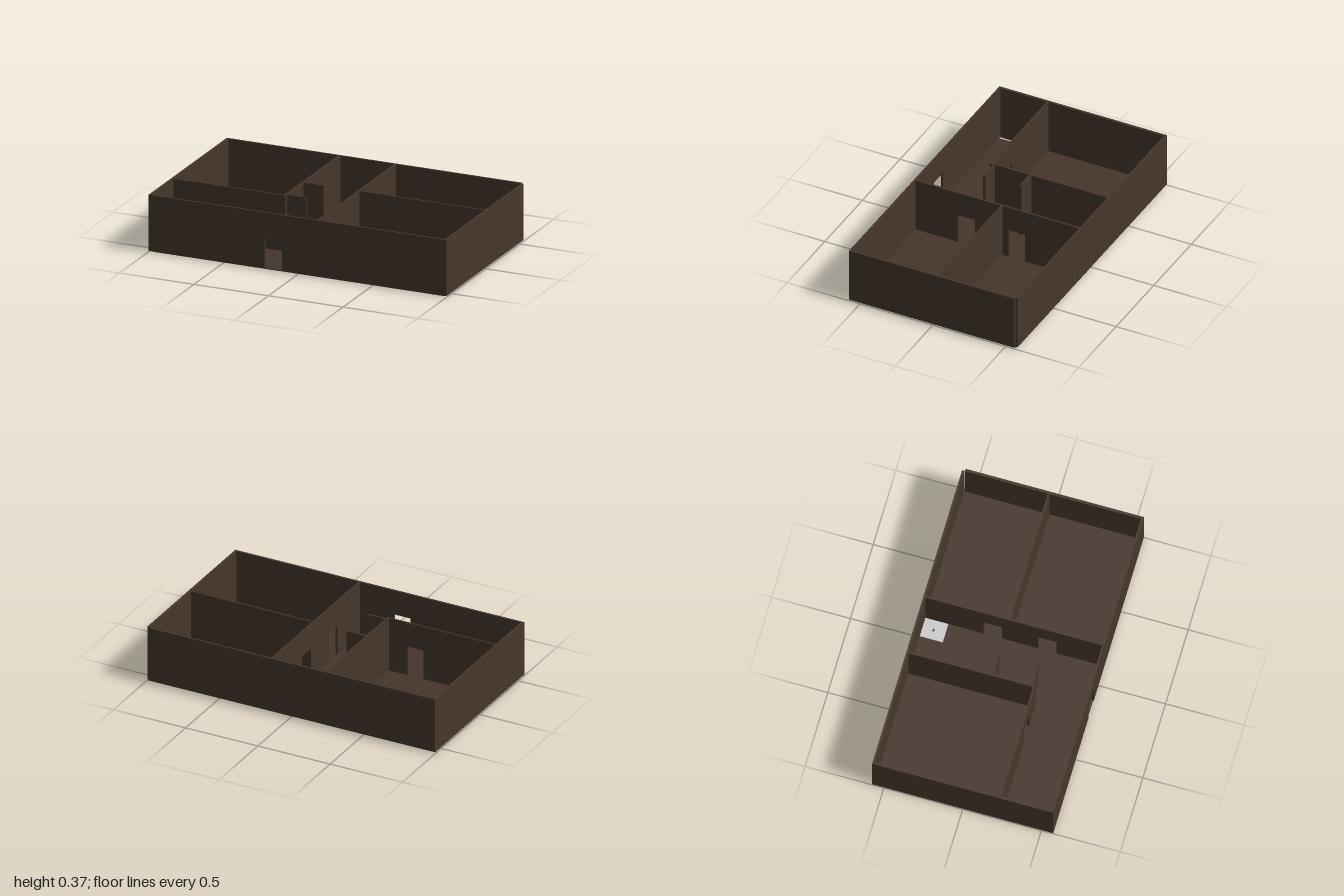
import * as THREE from 'three';

const BASE = 0.008, TOP = 0.37, DOOR_TOP = 0.207;
const brown = new THREE.MeshStandardMaterial({ color: 0x45362c, side: THREE.DoubleSide });
const grey = new THREE.MeshStandardMaterial({ color: 0xcccccc });

// Upright wall from a to b ([x, z] centre-line points); doors are [start, end] distances from a
function wall(name, a, b, thickness, doors = []) {
  const dx = b[0] - a[0], dz = b[1] - a[1], length = Math.hypot(dx, dz);
  const shape = new THREE.Shape().moveTo(0, BASE);
  for (const [s, e] of doors) {
    shape.lineTo(s, BASE).lineTo(s, DOOR_TOP).lineTo(e, DOOR_TOP).lineTo(e, BASE);
  }
  shape.lineTo(length, BASE).lineTo(length, TOP).lineTo(0, TOP).closePath();
  const geo = new THREE.ExtrudeGeometry(shape, { depth: thickness, bevelEnabled: false });
  geo.translate(0, 0, -thickness / 2);
  const mesh = new THREE.Mesh(geo, brown);
  mesh.name = name;
  mesh.position.set(a[0], 0, a[1]);
  mesh.rotation.y = Math.atan2(-dz, dx);
  return mesh;
}

// Flat slab between two x and two z limits
function slab(name, x0, x1, z0, z1, y0, y1, material) {
  const mesh = new THREE.Mesh(new THREE.BoxGeometry(x1 - x0, y1 - y0, z1 - z0), material);
  mesh.name = name;
  mesh.position.set((x0 + x1) / 2, (y0 + y1) / 2, (z0 + z1) / 2);
  return mesh;
}

export function createModel() {
  const house = new THREE.Group();
  house.name = 'house';

  // Floor, with a narrow gap beside the hall's end wall
  house.add(
    slab('mainFloor', -0.99, 0.99, -0.565, 0.24, 0.004, 0.01, brown),
    slab('hallFloor', -0.967, 0.99, 0.24, 0.57, 0.004, 0.01, brown),
  );

  // Outer walls
  house.add(
    wall('frontWall', [-1, 0.568], [1, 0.568], 0.014, [[0.78, 0.895]]),
    wall('backWall', [-0.99, -0.568], [0.985, -0.568], 0.014),
    wall('leftWall', [0.991, -0.557], [0.991, 0.575], 0.017),
    wall('rightWall', [-0.991, -0.575], [-0.991, 0.575], 0.017),
  );

  // Room partitions
  house.add(
    wall('longPartition', [0.135, -0.561], [0.135, 0.561], 0.014, [[0.37, 0.485], [0.716, 0.831]]),
    wall('leftRoomPartition', [0.142, -0.03], [0.983, -0.024], 0.012),
    wall('rightRoomSideWall', [-0.24, -0.561], [-0.24, 0.232], 0.016),
    wall('rightRoomFrontWall', [-0.983, 0.236], [-0.232, 0.236], 0.012, [[0.495, 0.608]]),
    wall('bathStubBack', [-0.232, -0.032], [-0.1, -0.032], 0.016),
    wall('bathStubFront', [-0.232, 0.215], [-0.1, 0.215], 0.014),
  );

  // Shower tray with its drain
  house.add(slab('showerTray', 0.003, 0.127, -0.562, -0.415, 0, 0.013, grey));
  const drain = new THREE.Mesh(new THREE.CylinderGeometry(0.01, 0.01, 0.002, 16), brown);
  drain.name = 'drain';
  drain.scale.z = 0.6;
  drain.position.set(0.063, 0.0135, -0.49);
  house.add(drain);

  return house;
}
